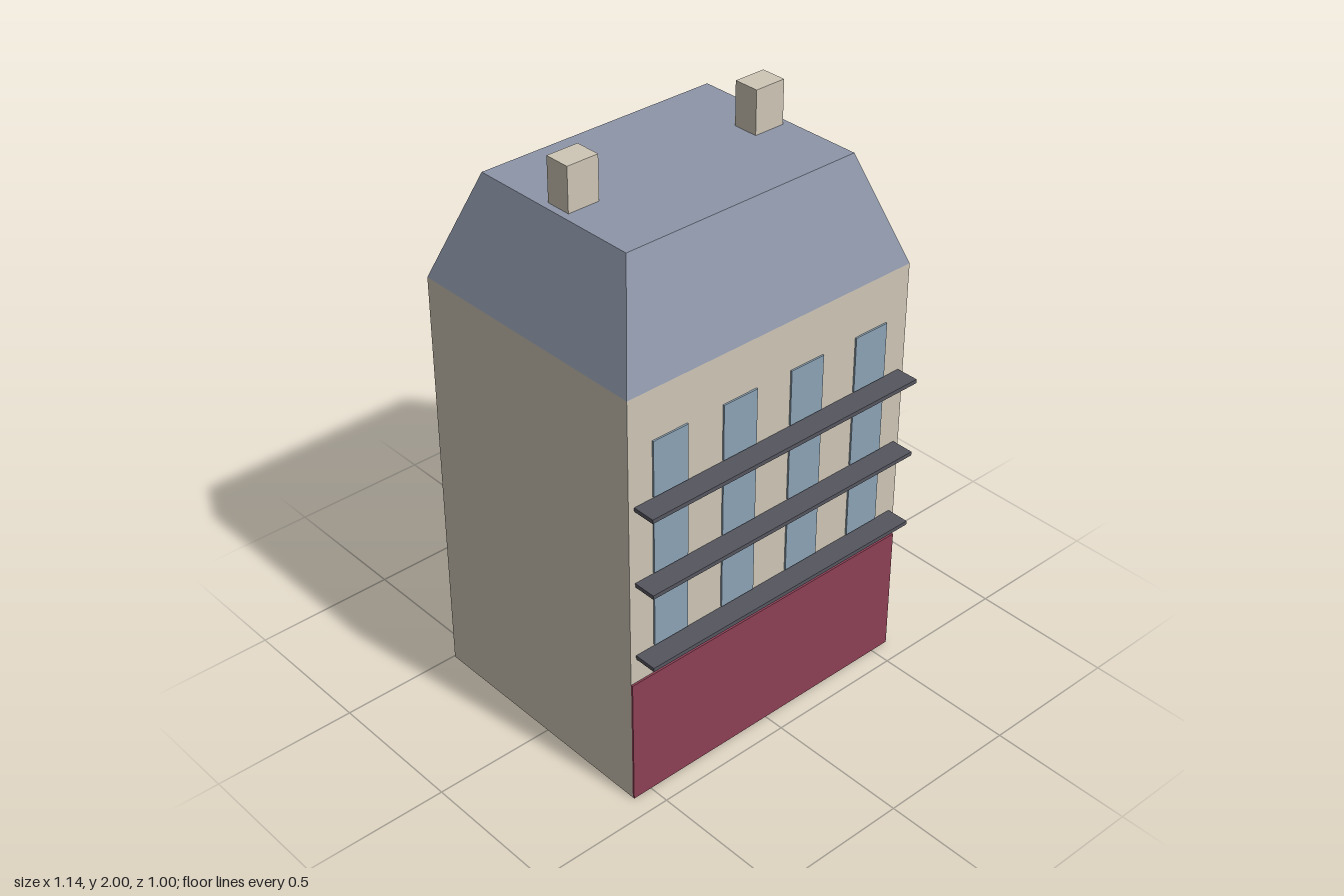
import * as THREE from 'three';

const WALL = 0xcec6b6, ROOF = 0x8c95a8, GLASS = 0x8ca2b4, SHOP = 0x8c4055, SLAB = 0x55555f;
const mats = {};
const material = (color) => (mats[color] ??= new THREE.MeshStandardMaterial({ color, flatShading: true }));

// Box given by its lower and upper limits on each axis
function block(name, color, [x0, x1], [y0, y1], [z0, z1]) {
  const mesh = new THREE.Mesh(new THREE.BoxGeometry(x1 - x0, y1 - y0, z1 - z0), material(color));
  mesh.position.set((x0 + x1) / 2, (y0 + y1) / 2, (z0 + z1) / 2);
  mesh.name = name;
  return mesh;
}

export function createModel() {
  const model = new THREE.Group();
  model.name = 'townhouse';
  const halfW = 0.57, back = -0.496, front = 0.42, eaves = 1.485, roofTop = 1.85;

  // Walls and the coloured shop front
  model.add(block('walls', WALL, [-halfW, halfW], [0, eaves], [back, front]));
  model.add(block('shopFront', SHOP, [-halfW, halfW], [0, 0.46], [front, 0.427]));

  // Mansard roof: a box with its top face drawn in
  const roof = block('mansardRoof', ROOF, [-halfW, halfW], [eaves, roofTop], [back, front]);
  const p = roof.geometry.attributes.position;
  for (let i = 0; i < p.count; i++) {
    if (p.getY(i) > 0) {
      p.setX(i, Math.sign(p.getX(i)) * 0.447);
      p.setZ(i, Math.sign(p.getZ(i)) * 0.321);
    }
  }
  roof.geometry.computeVertexNormals();
  model.add(roof);

  // Chimneys
  for (const x of [-0.365, 0.365]) {
    model.add(block('chimney', WALL, [x - 0.057, x + 0.057], [roofTop, 2], [-0.084, 0.006]));
  }

  // Three storeys with windows front and back, and a balcony along the front
  for (let floor = 0; floor < 3; floor++) {
    const storey = new THREE.Group();
    storey.name = 'storey' + (floor + 1);
    const y = 0.55 + floor * 0.274;
    storey.add(block('balcony', SLAB, [-0.548, 0.548], [y, y + 0.014], [front, 0.5]));
    for (let column = 0; column < 4; column++) {
      const x = (column - 1.5) * 0.274;
      const xs = [x - 0.067, x + 0.067], ys = [y + 0.019, y + 0.214];
      storey.add(block('frontWindow', GLASS, xs, ys, [front, 0.426]));
      storey.add(block('backWindow', GLASS, xs, ys, [-0.504, back]));
    }
    model.add(storey);
  }
  return model;
}
